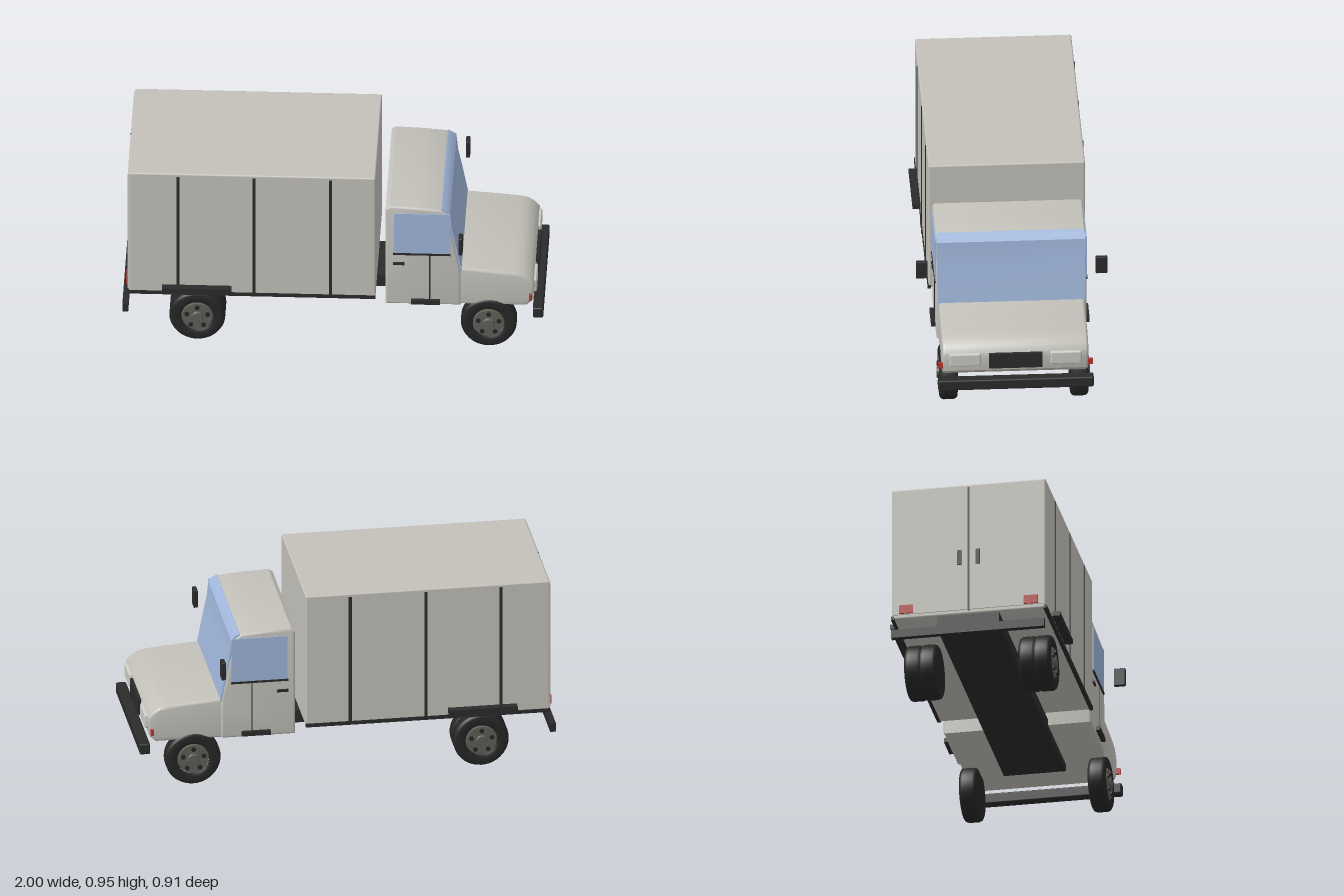
import * as THREE from 'three';
import { toCreasedNormals } from 'three/addons/utils/BufferGeometryUtils.js';
import { RoundedBoxGeometry } from 'three/addons/geometries/RoundedBoxGeometry.js';

const paint = (name, color) => {
  const m = new THREE.MeshStandardMaterial({ color });
  m.name = name;
  return m;
};

export function createModel() {
  const truck = new THREE.Group();
  truck.name = 'boxTruck';
  const body = paint('warm grey body', 0xc2c0b9);
  const black = paint('black trim', 0x2b2b2b);
  const rubber = paint('tyre rubber', 0x262626);
  const steel = paint('wheel steel', 0x5f5e56);
  const glass = paint('blue glass', 0x9fb5da);
  const red = paint('red lamp', 0xb5352e);
  const lamp = paint('headlamp', 0xcbcac3);

  const add = (name, geo, mat, parent = truck) => {
    const mesh = new THREE.Mesh(geo, mat);
    mesh.name = name;
    parent.add(mesh);
    return mesh;
  };
  // Box given by its limits along each axis; r rounds its edges
  const box = (name, mat, [x0, x1], [y0, y1], [z0, z1], r = 0) => {
    const s = [x1 - x0, y1 - y0, z1 - z0];
    const geo = r ? new RoundedBoxGeometry(...s, 3, r) : new THREE.BoxGeometry(...s);
    return add(name, geo, mat).position.set((x0 + x1) / 2, (y0 + y1) / 2, (z0 + z1) / 2);
  };
  // The same box on both sides of the truck
  const pair = (name, mat, xs, ys, [z0, z1], r = 0) => {
    box(name + 'Left', mat, xs, ys, [-z1, -z0], r);
    box(name + 'Right', mat, xs, ys, [z0, z1], r);
  };
  // Side profile extruded across the truck with rounded edges
  const across = (name, mat, pts, half, bevel) => {
    const shape = new THREE.Shape(pts.map(p => new THREE.Vector2(...p)));
    const geo = new THREE.ExtrudeGeometry(shape, {
      depth: 2 * (half - bevel), bevelEnabled: bevel > 0, bevelThickness: bevel,
      bevelSize: bevel, bevelOffset: -bevel, bevelSegments: 3,
    });
    geo.translate(0, 0, bevel - half);
    return add(name, toCreasedNormals(geo, 0.6), mat);
  };

  // Chassis and bumpers
  box('chassis', black, [-0.99, 0.7], [0.2, 0.262], [-0.15, 0.15]);
  box('rearBumper', black, [-1, -0.972], [0.165, 0.207], [-0.37, 0.37]);
  box('frontBumper', black, [0.95, 1], [0.182, 0.236], [-0.37, 0.37], 0.008);

  // Cargo box with seams, lower rails and side bars
  box('cargoBox', body, [-0.97, 0.203], [0.275, 0.95], [-0.372, 0.372], 0.008);
  pair('lowerRail', black, [-0.97, 0.203], [0.272, 0.29], [0.36, 0.376]);
  for (const x of [-0.735, -0.375, -0.01])
    pair('sideSeam', black, [x - 0.007, x + 0.007], [0.29, 0.935], [0.368, 0.376]);
  pair('sideBar', black, [-0.81, -0.48], [0.302, 0.326], [0.37, 0.41]);

  // Rear doors
  pair('rearDoor', body, [-0.975, -0.965], [0.295, 0.935], [0.004, 0.365]);
  box('rearDoorSeam', black, [-0.976, -0.968], [0.29, 0.935], [-0.004, 0.004]);
  pair('rearDoorHandle', black, [-0.981, -0.972], [0.53, 0.605], [0.035, 0.055]);
  pair('tailLamp', red, [-0.983, -0.968], [0.298, 0.34], [0.268, 0.335]);

  // Cab and windscreen
  across('cab', body, [[0.25, 0.235], [0.607, 0.235], [0.607, 0.43], [0.575, 0.59], [0.56, 0.66],
    [0.552, 0.735], [0.535, 0.755], [0.51, 0.768], [0.4, 0.777], [0.27, 0.783], [0.25, 0.77]], 0.357, 0.012);
  across('windscreen', glass, [[0.604, 0.425], [0.613, 0.425], [0.581, 0.59], [0.566, 0.66],
    [0.558, 0.737], [0.54, 0.758], [0.518, 0.77], [0.515, 0.764], [0.535, 0.75], [0.551, 0.73],
    [0.558, 0.66], [0.573, 0.59]], 0.352, 0);

  // Bonnet
  across('bonnet', body, [[0.59, 0.235], [0.92, 0.235], [0.948, 0.262], [0.958, 0.33], [0.955, 0.36],
    [0.935, 0.385], [0.9, 0.408], [0.86, 0.416], [0.72, 0.428], [0.59, 0.437]], 0.347, 0.014);
  box('grille', black, [0.94, 0.97], [0.282, 0.36], [-0.127, 0.127]);
  pair('headlamp', lamp, [0.945, 0.968], [0.293, 0.362], [0.165, 0.315], 0.009);
  pair('turnLamp', red, [0.932, 0.945], [0.275, 0.304], [0.343, 0.368]);

  // Doors: window, sill, seam, handle and step
  for (const s of [-1, 1]) {
    const win = new THREE.Shape([[0.29, 0.525], [0.56, 0.525], [0.556, 0.747], [0.29, 0.747]]
      .map(p => new THREE.Vector2(...p)));
    const pane = new THREE.ExtrudeGeometry(win, { depth: 0.008, bevelEnabled: false });
    add('sideWindow', pane, glass).position.z = s * 0.357 - 0.004;
  }
  pair('windowSill', black, [0.285, 0.56], [0.516, 0.526], [0.354, 0.364]);
  pair('doorSeam', black, [0.457, 0.463], [0.27, 0.515], [0.352, 0.36]);
  pair('doorHandle', black, [0.285, 0.34], [0.459, 0.472], [0.352, 0.364]);
  pair('step', black, [0.372, 0.51], [0.247, 0.268], [0.345, 0.377]);
  pair('mirror', black, [0.6, 0.62], [0.58, 0.67], [0.4, 0.455], 0.004);

  // Wheels: tyre lathe, steel disc, cap and nuts, with the outer face towards +z
  const tyreProfile = [[0.07, -0.04], [0.118, -0.042], [0.128, -0.036], [0.133, -0.024],
    [0.133, 0.024], [0.128, 0.036], [0.118, 0.042], [0.09, 0.043], [0.076, 0.034]];
  const tyreGeo = new THREE.LatheGeometry(tyreProfile.map(p => new THREE.Vector2(...p)), 40).rotateX(Math.PI / 2);
  const disc = (r0, r1, h) => new THREE.CylinderGeometry(r0, r1, h, 28).rotateX(Math.PI / 2);
  const wheel = (name, x, side, dual) => {
    const g = new THREE.Group();
    g.name = name;
    const put = (part, geo, mat, px, py, pz) => add(part, geo, mat, g).position.set(px, py, pz);
    for (const z of dual ? [0, -0.07] : [0]) {
      put('tyre', tyreGeo, rubber, 0, 0, z);
      put('innerDisc', disc(0.078, 0.078, 0.06), rubber, 0, 0, z - 0.01);
    }
    put('wheelDisc', disc(0.072, 0.08, 0.03), steel, 0, 0, 0.028);
    put('hubCap', disc(0.024, 0.03, 0.012), steel, 0, 0, 0.047);
    for (let i = 0; i < 5; i++) {
      const a = Math.PI / 2 + i * Math.PI * 0.4;
      put('wheelNut', disc(0.011, 0.011, 0.01), rubber, 0.052 * Math.cos(a), 0.052 * Math.sin(a), 0.045);
    }
    g.position.set(x, 0.135, side * 0.311);
    if (side < 0) g.rotation.y = Math.PI;
    truck.add(g);
  };
  for (const s of [-1, 1]) {
    wheel('frontWheel', 0.74, s, false);
    wheel('rearWheel', -0.645, s, true);
  }
  return truck;
}
